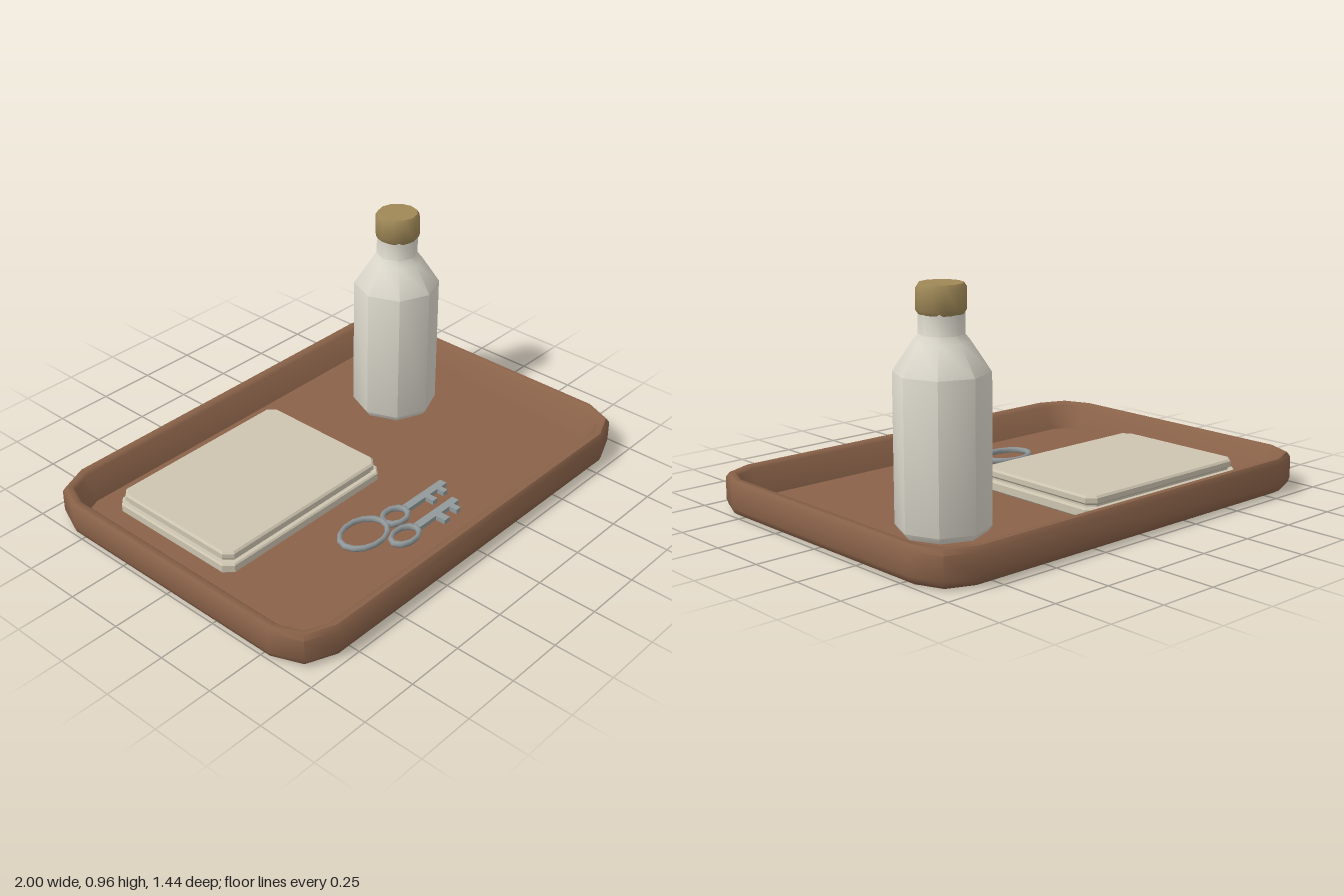
import * as THREE from 'three';
import { toCreasedNormals } from 'three/addons/utils/BufferGeometryUtils.js';

const FLOOR = 0.03;
const paint = (color) => new THREE.MeshStandardMaterial({ color });
const brown = paint(0x8a6249), cream = paint(0xcdc4b0), glass = paint(0xdcd8cc);
const cork = paint(0x9f8857), steel = paint(0x92999b);

function part(name, geometry, material, x = 0, y = 0, z = 0) {
  const mesh = new THREE.Mesh(geometry, material);
  mesh.name = name;
  mesh.position.set(x, y, z);
  return mesh;
}

// Ring of 12 points: four corners of three points, corner radius r
function trayRing([r, y, spread = 1]) {
  const ring = [];
  [[1, 1], [-1, 1], [-1, -1], [1, -1]].forEach(([sx, sz], k) => {
    for (let i = 0; i < 3; i++) {
      const a = (k + i / 2) * Math.PI / 2;
      ring.push(spread * (sx * 0.82 + r * Math.cos(a)), y, spread * (sz * 0.54 + r * Math.sin(a)));
    }
  });
  return ring;
}

function trayGeometry() {
  // Corner radius and height, from under the base, over the rim, to the floor
  const sections = [
    [0.15, 0, 0], [0.15, 0], [0.172, 0.014], [0.18, 0.035], [0.18, 0.125], [0.165, 0.145],
    [0.143, 0.145], [0.13, 0.132], [0.08, FLOOR], [0.08, FLOOR, 0],
  ];
  const index = [];
  for (let j = 0; j < sections.length - 1; j++) {
    for (let i = 0; i < 12; i++) {
      const a = j * 12 + i, b = j * 12 + (i + 1) % 12, c = b + 12, d = a + 12;
      if (j < sections.length - 2) index.push(a, d, c);
      if (j > 0) index.push(a, c, b);
      if (j === 0) continue;
    }
  }
  const geo = new THREE.BufferGeometry();
  geo.setAttribute('position', new THREE.Float32BufferAttribute(sections.flatMap(trayRing), 3));
  geo.setIndex(index);
  return toCreasedNormals(geo, 0.85);
}

function turned(profile, sides) {
  const points = profile.map(([r, y]) => new THREE.Vector2(r, y));
  return toCreasedNormals(new THREE.LatheGeometry(points, sides), 0.85);
}

// Flat outline in x and z, extruded upward from y = 0
function plate(points, height, bevel = 0) {
  const shape = new THREE.Shape(points.map(([x, z]) => new THREE.Vector2(x, z)));
  const geo = new THREE.ExtrudeGeometry(shape, {
    depth: height - 2 * bevel, bevelEnabled: bevel > 0, bevelThickness: bevel,
    bevelSize: bevel, bevelOffset: -bevel, bevelSegments: 1,
  });
  geo.rotateX(Math.PI / 2);
  geo.translate(0, height - bevel, 0);
  return geo;
}

function chamferedRect(w, d, c) {
  return [[w - c, -d], [w, c - d], [w, d - c], [w - c, d], [c - w, d], [-w, d - c], [-w, c - d], [c - w, -d]];
}

// Flattened hoop lying on the floor
function hoop(rx, rz, tube, sides) {
  const geo = new THREE.TorusGeometry(rx - tube, tube, 6, sides);
  geo.rotateX(Math.PI / 2);
  geo.scale(1, 1, (rz - tube) / (rx - tube));
  return geo;
}

// Key: hoop bow at the origin, blade towards +x with two teeth towards +z
function key(name, rx, rz, end, teeth) {
  const group = new THREE.Group();
  group.name = name;
  const w = 0.017, outline = [[rx - 0.015, -w], [end, -w], [end, w]];
  [...teeth].reverse().forEach(([a, b, z]) => outline.push([b, w], [b, z], [a, z], [a, w]));
  outline.push([rx - 0.015, w]);
  group.add(
    part('keyBow', hoop(rx, rz, 0.014, 10), steel, 0, 0.014, 0),
    part('keyBlade', plate(outline, 0.02), steel, 0, 0.004, 0),
  );
  return group;
}

export function createModel() {
  const model = new THREE.Group();
  model.name = 'trayWithItems';
  model.add(part('tray', trayGeometry(), brown));

  // Notepad: wide lower block, thin groove, slightly smaller upper cover
  const pad = new THREE.Group();
  pad.name = 'notepad';
  pad.position.set(-0.355, FLOOR, -0.195);
  pad.add(
    part('lowerCover', plate(chamferedRect(0.445, 0.325, 0.035), 0.042, 0.006), cream),
    part('pages', plate(chamferedRect(0.422, 0.302, 0.03), 0.02), cream, 0, 0.038, 0),
    part('upperCover', plate(chamferedRect(0.432, 0.312, 0.033), 0.036, 0.008), cream, 0, 0.05, 0),
  );
  model.add(pad);

  // Bottle with stopper
  const bottle = new THREE.Group();
  bottle.name = 'bottle';
  bottle.position.set(0.573, 0, -0.225);
  bottle.add(
    part('bottleBody', turned([[0, FLOOR], [0.165, FLOOR], [0.183, 0.055], [0.183, 0.635],
      [0.107, 0.75], [0.087, 0.775], [0.087, 0.87], [0, 0.87]], 8), glass),
    part('stopper', turned([[0, 0.85], [0.085, 0.85], [0.095, 0.865], [0.095, 0.945],
      [0.084, 0.962], [0, 0.962]], 12), cork),
  );
  model.add(bottle);

  // Two keys on a split ring
  const keys = new THREE.Group();
  keys.name = 'keys';
  keys.position.y = FLOOR;
  const upperKey = key('upperKey', 0.075, 0.06, 0.305, [[0.17, 0.197, 0.057], [0.245, 0.27, 0.05]]);
  upperKey.position.set(-0.095, 0, 0.355);
  const lowerKey = key('lowerKey', 0.083, 0.06, 0.315, [[0.17, 0.203, 0.062], [0.255, 0.282, 0.053]]);
  lowerKey.position.set(-0.165, 0, 0.467);
  keys.add(upperKey, lowerKey, part('keyRing', hoop(0.123, 0.095, 0.013, 14), steel, -0.275, 0.024, 0.347));
  model.add(keys);

  return model;
}
